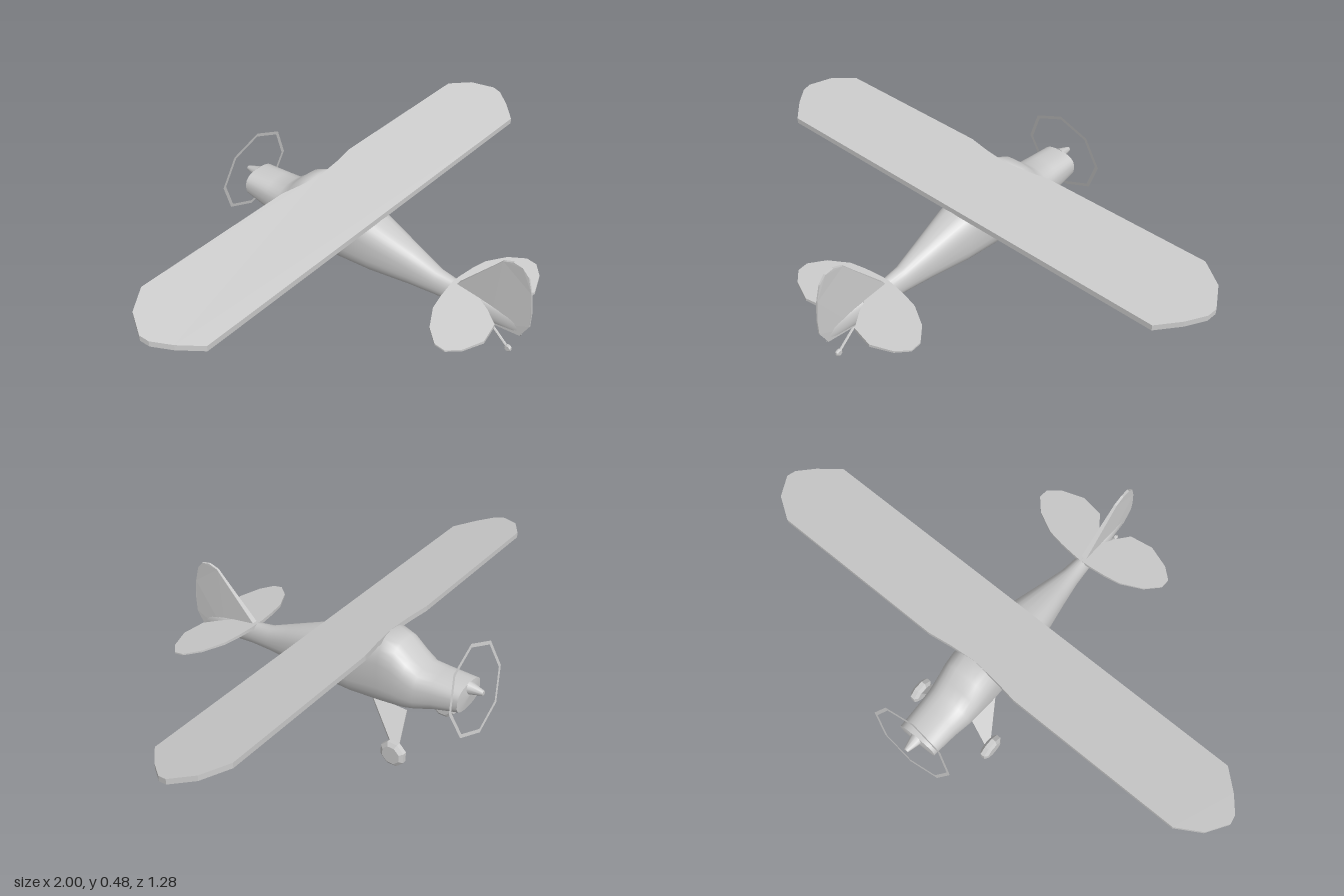
import * as THREE from 'three';

const smooth = new THREE.MeshStandardMaterial({ color: 0xcccccc, side: THREE.DoubleSide });
const flat = new THREE.MeshStandardMaterial({ color: 0xcccccc, side: THREE.DoubleSide, flatShading: true });

function add(parent, name, geometry, material = flat) {
  const mesh = new THREE.Mesh(geometry, material);
  mesh.name = name;
  parent.add(mesh);
  return mesh;
}

// Moves every vertex by a rule, then refreshes the normals
function deform(geometry, rule) {
  const p = geometry.attributes.position;
  const v = new THREE.Vector3();
  for (let i = 0; i < p.count; i++) {
    rule(v.fromBufferAttribute(p, i));
    p.setXYZ(i, v.x, v.y, v.z);
  }
  geometry.computeVertexNormals();
  return geometry;
}

// Unit-thick plate centred on its own plane
function plate(points) {
  const shape = new THREE.Shape(points.map(([a, b]) => new THREE.Vector2(a, b)));
  return new THREE.ExtrudeGeometry(shape, { depth: 1, bevelEnabled: false }).translate(0, 0, -0.5);
}

// Plate lying in x/z, with height and thickness given by rules
function panel(points, height, thickness) {
  const g = plate(points.map(([x, z]) => [x, -z])).rotateX(-Math.PI / 2);
  return deform(g, v => { v.y = height(v.z) + v.y * thickness(v.x); });
}

// Skin through superellipse sections [z, bottom, top, halfWidth, exponent]
function loft(sections, sides) {
  const pos = [], index = [];
  const power = (c, n) => Math.sign(c) * Math.pow(Math.abs(c), 2 / n);
  sections.forEach(([z, bottom, top, w, n], j) => {
    for (let i = 0; i < sides; i++) {
      const t = (i / sides) * Math.PI * 2;
      pos.push(w * power(Math.cos(t), n),
        (bottom + top) / 2 + ((top - bottom) / 2) * power(Math.sin(t), n), z);
      if (j === sections.length - 1) continue;
      const a = j * sides + i, b = j * sides + (i + 1) % sides;
      index.push(a, b, a + sides, b, b + sides, a + sides);
    }
  });
  const g = new THREE.BufferGeometry();
  g.setAttribute('position', new THREE.Float32BufferAttribute(pos, 3));
  g.setIndex(index);
  g.computeVertexNormals();
  return g;
}

function rod(a, b, radius) {
  return new THREE.TubeGeometry(new THREE.LineCurve3(new THREE.Vector3(...a), new THREE.Vector3(...b)), 1, radius, 6);
}

function wheelGeometry(r, halfWidth, sides) {
  const profile = [[0, -1], [0.72, -1], [1, -0.45], [1, 0.45], [0.72, 1], [0, 1]]
    .map(([a, b]) => new THREE.Vector2(a * r, b * halfWidth));
  return new THREE.LatheGeometry(profile, sides, Math.PI / sides).rotateZ(Math.PI / 2);
}

export function createModel() {
  const plane = new THREE.Group();
  plane.name = 'lightAircraft';

  // Fuselage, nose towards -z; the doubled section keeps the nose edge sharp
  add(plane, 'fuselage', loft([
    [-0.59, 0.28, 0.28, 0, 2.6],
    [-0.583, 0.224, 0.325, 0.077, 2.6],
    [-0.583, 0.224, 0.325, 0.077, 2.6],
    [-0.48, 0.192, 0.327, 0.083, 2.6],
    [-0.417, 0.165, 0.328, 0.09, 2.6],
    [-0.372, 0.15, 0.36, 0.094, 2.7],
    [-0.327, 0.143, 0.398, 0.098, 2.8],
    [-0.275, 0.137, 0.416, 0.1, 2.9],
    [-0.15, 0.126, 0.375, 0.098, 2.9],
    [0, 0.12, 0.33, 0.085, 2.7],
    [0.16, 0.12, 0.264, 0.055, 2.4],
    [0.262, 0.117, 0.22, 0.037, 2.2],
    [0.348, 0.113, 0.205, 0.03, 2],
    [0.49, 0.097, 0.182, 0.018, 2],
    [0.61, 0.095, 0.155, 0.003, 2],
  ], 28), smooth);

  // Spinner
  const spinner = add(plane, 'spinner', new THREE.CylinderGeometry(0.009, 0.024, 0.056, 10), smooth);
  spinner.rotation.x = -Math.PI / 2;
  spinner.position.set(0, 0.305, -0.61);

  // Propeller sweep, a thin eight-sided hoop
  const hoop = add(plane, 'propellerHoop', new THREE.RingGeometry(0.158, 0.172, 8));
  hoop.position.set(0, 0.309, -0.607);
  hoop.rotation.x = 0.18;

  // Wing, mirrored from one half outline and sloping down to the rear
  const halfWing = [[0.1, -0.277], [0.19, -0.291], [0.86, -0.291], [0.95, -0.235],
    [1, -0.155], [0.995, -0.12], [0.95, -0.06], [0.88, 0.008]];
  const wing = [[0, -0.268], ...halfWing, ...halfWing.slice().reverse().map(([x, z]) => [-x, z])];
  add(plane, 'wing', panel(wing, z => 0.335 - 0.25 * (z - 0.01), () => 0.021));

  // Fin and rudder, thinner towards the tip
  const fin = plate([[0.348, 0.205], [0.468, 0.325], [0.52, 0.378], [0.56, 0.39], [0.595, 0.383],
    [0.62, 0.353], [0.636, 0.29], [0.643, 0.21], [0.64, 0.152], [0.605, 0.095], [0.49, 0.1]]);
  add(plane, 'fin', deform(fin.rotateY(-Math.PI / 2), v => {
    v.x *= v.z > 0.6 ? 0.006 : 0.022 - 0.07 * Math.max(0, v.y - 0.2);
  }));

  // Tailplane halves
  const tail = [[0, 0.33], [0.03, 0.332], [0.1, 0.34], [0.165, 0.353], [0.246, 0.396], [0.294, 0.45],
    [0.294, 0.49], [0.25, 0.53], [0.165, 0.562], [0.075, 0.546], [0.035, 0.49], [0.015, 0.45], [0, 0.45]];
  for (const [side, s] of [['left', 1], ['right', -1]]) {
    const outline = tail.map(([x, z]) => [s * x, z]);
    add(plane, side + 'Tailplane', panel(outline, z => 0.2 - 0.19 * (z - 0.33), x => 0.016 - 0.035 * Math.abs(x)));

    // Main gear: broad tapering leg and wheel
    const gear = new THREE.Group();
    gear.name = side + 'MainGear';
    plane.add(gear);
    const leg = plate([[0, -0.24], [0, -0.385], [1, -0.415], [1, -0.385]]).rotateX(Math.PI / 2);
    add(gear, side + 'GearLeg', deform(leg, v => {
      const t = v.x;
      v.set(s * (0.065 + 0.092 * t), 0.155 - 0.09 * t + v.y * 0.01, v.z);
    }));
    const wheel = add(gear, side + 'Wheel', wheelGeometry(0.05, 0.018, 8));
    wheel.position.set(s * 0.17, 0.048, -0.402);
  }

  // Tail wheel on a slanting strut
  add(plane, 'tailStrut', rod([0, 0.105, 0.472], [0, 0.02, 0.56], 0.005));
  const tailWheel = add(plane, 'tailWheel', wheelGeometry(0.014, 0.007, 8));
  tailWheel.position.set(0, 0.017, 0.564);

  return plane;
}
